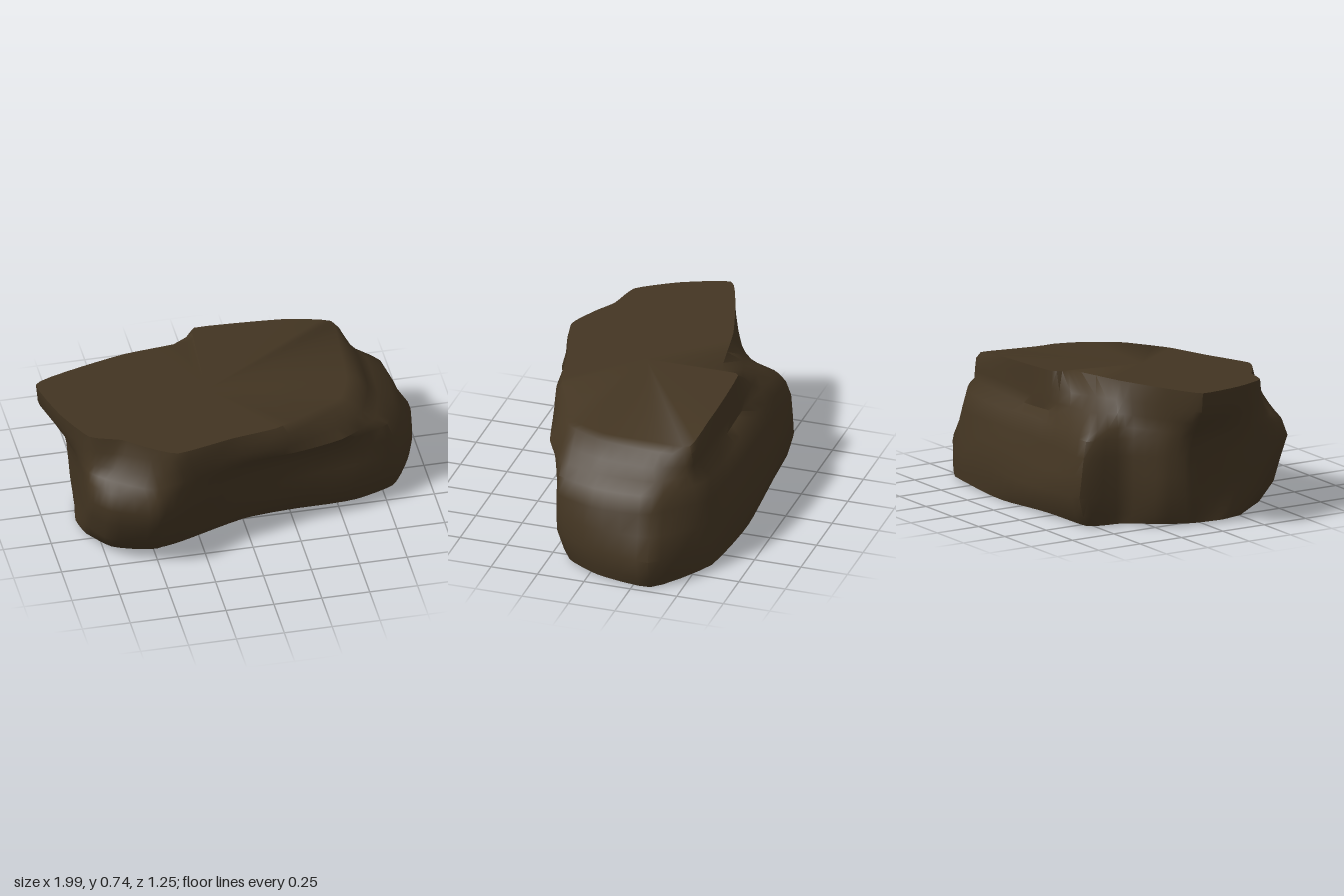
import * as THREE from 'three';
import { toCreasedNormals } from 'three/addons/utils/BufferGeometryUtils.js';

// Outlines as x, z pairs: left tip, round the front, right end, then the back
const FOOT = [-.81, -.06, -.84, .1, -.81, .23, -.69, .33, -.47, .4, -.32, .37, 0, .27, .3, .23, .6, .21,
  .81, .14, .92, -.05, .95, -.34, .65, -.57, .15, -.6, -.25, -.58, -.56, -.54, -.62, -.36, -.74, -.2];
const LOW = [-.83, -.08, -.83, .14, -.83, .32, -.74, .47, -.52, .55, -.32, .44, -.02, .33, .3, .3, .6, .27,
  .82, .2, .94, -.02, .99, -.34, .66, -.57, .15, -.62, -.25, -.62, -.58, -.6, -.64, -.36, -.77, -.22];
const MIDDLE = [-.85, -.1, -.84, .15, -.84, .43, -.75, .55, -.52, .63, -.34, .53, -.02, .38, .28, .33, .56, .28,
  .8, .21, .88, 0, .88, -.32, .62, -.54, .15, -.57, -.25, -.57, -.59, -.58, -.64, -.36, -.78, -.22];
const LEDGE = [-.89, -.1, -.87, .12, -.83, .37, -.74, .46, -.54, .57, -.36, .54, -.03, .46, .23, .42, .5, .35,
  .69, .22, .76, 0, .76, -.3, .62, -.47, .2, -.48, -.1, -.48, -.56, -.52, -.61, -.34, -.79, -.2];
const SHOULDER = [-.99, -.12, -.92, .14, -.82, .35, -.68, .4, -.56, .48, -.4, .55, -.1, .47, .16, .43, .36, .34,
  .56, .22, .65, .02, .66, -.25, .63, -.455, .3, -.47, -.11, -.47, -.36, -.4, -.56, -.32, -.8, -.21];
const CREST = [-1, -.12, -.93, .14, -.82, .34, -.66, .39, -.56, .46, -.4, .54, -.1, .46, .14, .41, .32, .32,
  .52, .2, .59, .02, .61, -.25, .61, -.44, .3, -.465, -.1, -.46, -.14, -.36, -.5, -.3, -.8, -.21];

const SIDES = 72;
const mix = (a, b, t) => a.map((v, i) => v + (b[i] - v) * t);
// The top slopes down to the right and droops at its right end
const crestY = (x, z) => 0.698 - 0.045 * x - 0.04 * z - 0.1 * Math.max(0, x - 0.4);

// Closed smooth outline with evenly indexed points
function outline(pairs) {
  const points = [];
  for (let i = 0; i < pairs.length; i += 2) points.push(new THREE.Vector3(pairs[i], 0, pairs[i + 1]));
  const curve = new THREE.CatmullRomCurve3(points, true, 'catmullrom', 0.25);
  return Array.from({ length: SIDES }, (_, i) => curve.getPoint(i / SIDES));
}

function rockGeometry() {
  const levels = [
    { y: 0.015, ring: FOOT },
    { y: 0.06, ring: mix(FOOT, LOW, 0.5) },
    { y: 0.16, ring: LOW },
    { y: 0.27, ring: mix(LOW, MIDDLE, 0.55) },
    { y: 0.38, ring: MIDDLE },
    { y: 0.47, ring: mix(MIDDLE, LEDGE, 0.35) },
    { y: 0.515, ring: LEDGE },
    { y: 0.57, ring: mix(LEDGE, SHOULDER, 0.5) },
    { y: 0.64, ring: SHOULDER },
    { y: null, ring: CREST },
  ];
  const positions = [];
  const index = [];
  levels.forEach(({ y, ring }, k) => {
    outline(ring).forEach((p) => {
      // Gentle weathering of the sides
      const inner = k > 0 && y !== null;
      const wear = inner ? 0.006 * Math.sin(9 * p.x + 4 * k) * Math.cos(11 * p.z - 2 * k) : 0;
      const height = y === null ? crestY(p.x, p.z) : y + 0.008 * Math.sin(7 * p.x + 5 * p.z + k);
      positions.push(p.x * (1 + wear), height, p.z * (1 + wear));
    });
  });
  for (let k = 0; k < levels.length - 1; k++) {
    for (let i = 0; i < SIDES; i++) {
      const j = (i + 1) % SIDES;
      const a = k * SIDES + i, b = k * SIDES + j;
      index.push(a, b, b + SIDES, a, b + SIDES, a + SIDES);
    }
  }
  // Underside and sloping top
  const bottom = positions.length / 3;
  positions.push(-0.05, 0.02, -0.08, -0.15, crestY(-0.15, 0.05), 0.05);
  const last = (levels.length - 1) * SIDES;
  for (let i = 0; i < SIDES; i++) {
    const j = (i + 1) % SIDES;
    index.push(bottom, j, i, bottom + 1, last + i, last + j);
  }
  const geometry = new THREE.BufferGeometry();
  geometry.setAttribute('position', new THREE.Float32BufferAttribute(positions, 3));
  geometry.setIndex(index);
  return toCreasedNormals(geometry, 0.9);
}

export function createModel() {
  const stone = new THREE.MeshStandardMaterial({ color: 0x433522 });
  stone.name = 'brown stone';
  const rock = new THREE.Mesh(rockGeometry(), stone);
  rock.name = 'rock';
  const model = new THREE.Group();
  model.name = 'boulder';
  model.add(rock);
  return model;
}
